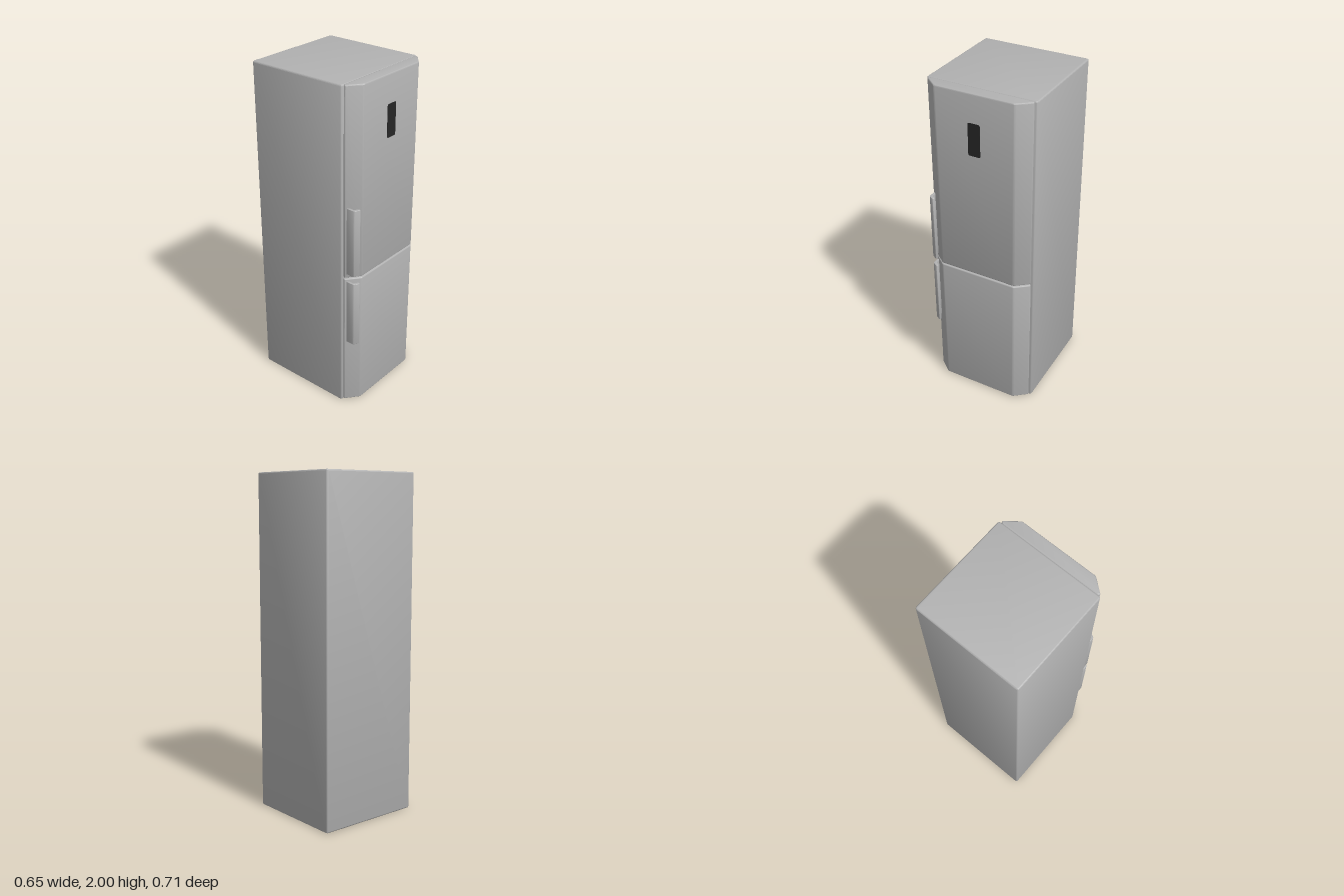
import * as THREE from 'three';
import { toCreasedNormals } from 'three/addons/utils/BufferGeometryUtils.js';

const steel = new THREE.MeshStandardMaterial({ color: 0xb2b2b2 });
steel.name = 'brushed steel';
const black = new THREE.MeshStandardMaterial({ color: 0x262626 });
black.name = 'black panel';

// Closed outline with each corner rounded by r
function roundedShape(points, r) {
  const pts = points.map(([x, y]) => new THREE.Vector2(x, y));
  const shape = new THREE.Shape();
  pts.forEach((p, i) => {
    const prev = pts[(i + pts.length - 1) % pts.length];
    const next = pts[(i + 1) % pts.length];
    const a = p.clone().add(prev.clone().sub(p).setLength(r));
    const b = p.clone().add(next.clone().sub(p).setLength(r));
    if (i === 0) shape.moveTo(a.x, a.y);
    else shape.lineTo(a.x, a.y);
    shape.quadraticCurveTo(p.x, p.y, b.x, b.y);
  });
  shape.closePath();
  return shape;
}

// Upright solid from a plan outline of [x, z] corners, with bevelled ends
function column(name, plan, y0, y1, radius, bevel) {
  const shape = roundedShape(plan.map(([x, z]) => [x, -z]), radius);
  const geometry = new THREE.ExtrudeGeometry(shape, {
    depth: y1 - y0 - 2 * bevel, curveSegments: 4, bevelEnabled: true,
    bevelThickness: bevel, bevelSize: bevel, bevelOffset: -bevel, bevelSegments: 3,
  });
  geometry.rotateX(-Math.PI / 2).translate(0, y0 + bevel, 0);
  const mesh = new THREE.Mesh(toCreasedNormals(geometry, 0.6), steel);
  mesh.name = name;
  return mesh;
}

export function createModel() {
  const fridge = new THREE.Group();
  fridge.name = 'fridge';

  // Cabinet
  const cabinet = [[-0.325, 0.267], [0.325, 0.267], [0.325, -0.357], [-0.325, -0.357]];
  fridge.add(column('cabinet', cabinet, 0, 2, 0.015, 0.008));

  // Doors with slanted sides
  const door = [[-0.303, 0.262], [-0.314, 0.277], [-0.235, 0.341],
    [0.235, 0.341], [0.314, 0.277], [0.303, 0.262]];
  fridge.add(column('upperDoor', door, 0.873, 2, 0.008, 0.007));
  fridge.add(column('lowerDoor', door, 0.006, 0.866, 0.008, 0.007));

  // Bent grip handles on the right-hand edge
  const grip = [[-0.303, 0.275], [-0.289, 0.275], [-0.289, 0.323],
    [-0.263, 0.342], [-0.271, 0.355], [-0.303, 0.335]];
  fridge.add(column('upperHandle', grip, 0.897, 1.31, 0.004, 0.002));
  fridge.add(column('lowerHandle', grip, 0.435, 0.848, 0.004, 0.002));

  // Display plate on the upper door
  const plate = roundedShape([[-0.036, 1.645], [0.036, 1.645], [0.036, 1.835], [-0.036, 1.835]], 0.01);
  const display = new THREE.Mesh(
    new THREE.ExtrudeGeometry(plate, { depth: 0.004, bevelEnabled: false, curveSegments: 4 }), black);
  display.name = 'display';
  display.position.z = 0.339;
  fridge.add(display);

  return fridge;
}
